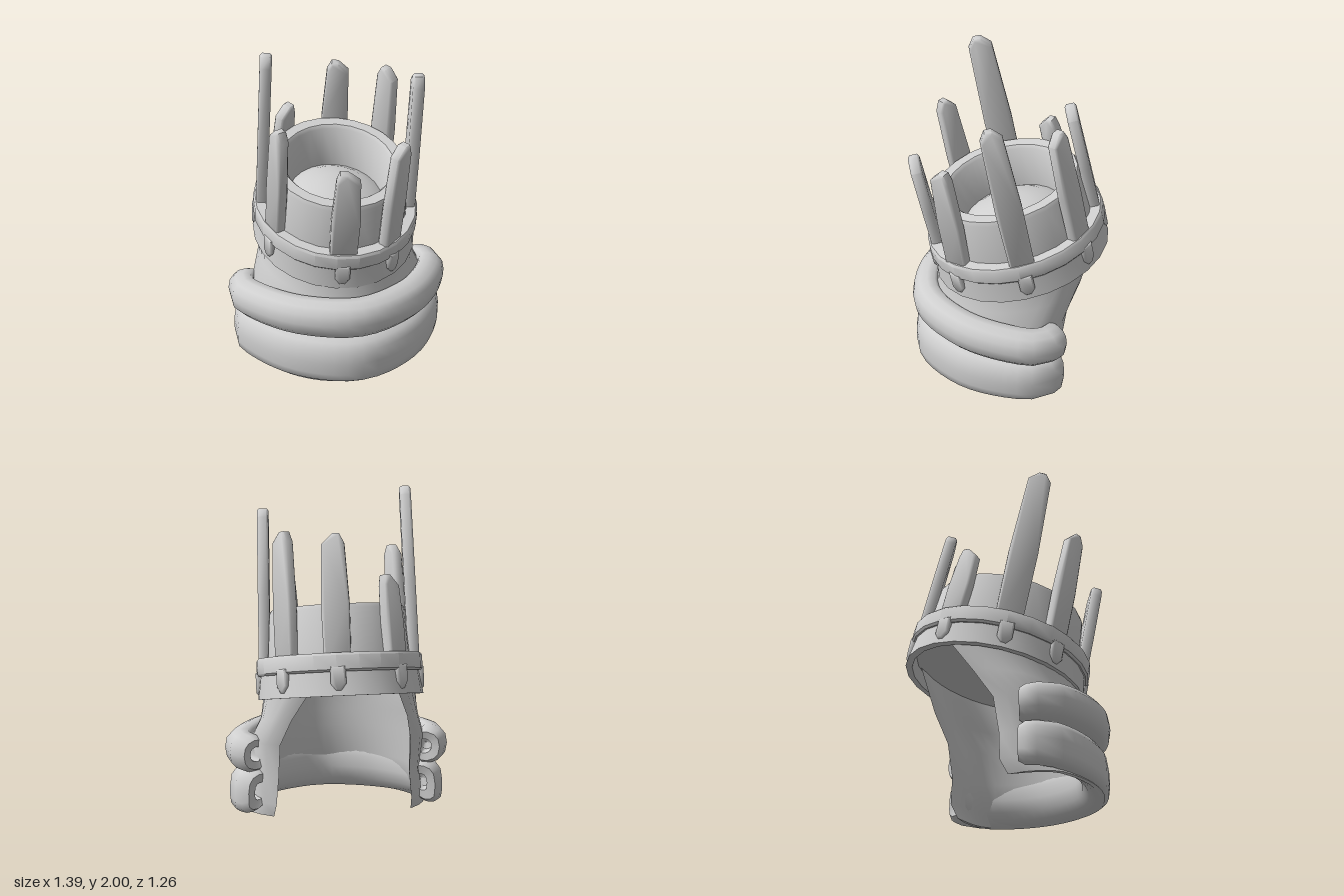
import * as THREE from 'three';
import { toCreasedNormals } from 'three/addons/utils/BufferGeometryUtils.js';

const DEPTH = 1.1; // the crown is slightly longer in z than in x

export function createModel() {
  const model = new THREE.Group();
  const grey = new THREE.MeshStandardMaterial({ color: 0xcfcfcf, side: THREE.DoubleSide });
  grey.name = 'stone grey';

  const add = (parent, name, geometry, crease = 0.7) => {
    const mesh = new THREE.Mesh(toCreasedNormals(geometry, crease), grey);
    mesh.name = name;
    parent.add(mesh);
    return mesh;
  };

  // Skin a row of closed cross-section loops
  const loft = (loops) => {
    const n = loops[0].length;
    const index = [];
    for (let i = 0; i < loops.length - 1; i++) {
      for (let j = 0; j < n; j++) {
        const a = i * n + j, b = i * n + (j + 1) % n;
        index.push(a, a + n, b, b, a + n, b + n);
      }
    }
    const g = new THREE.BufferGeometry();
    g.setAttribute('position', new THREE.Float32BufferAttribute(loops.flat(2), 3));
    g.setIndex(index);
    return g;
  };

  // Oval ring turned from a profile of [radius, height]
  const turned = (profile) => new THREE.LatheGeometry(
    profile.map(([r, y]) => new THREE.Vector2(r, y)), 24).scale(1, 1, DEPTH);

  // Neck wall: a U-shaped shell open at the back, rising into the tilted collar
  // rows: y, half width, front z, back edge z, centre z, tilt, wall thickness, pinch of the back edges
  const rows = [
    [0.005, 0.61, 0.565, -0.17, -0.10, 0, 0.03, 0.27],
    [0.09, 0.56, 0.515, -0.22, -0.10, 0, 0.04, 0.2],
    [0.25, 0.54, 0.49, -0.22, -0.10, 0, 0.06, 0.18],
    [0.46, 0.55, 0.48, -0.26, -0.08, 0.05, 0.07, 0.17],
    [0.60, 0.485, 0.455, -0.365, -0.07, 0.13, 0.04, 0.08],
    [0.80, 0.46, 0.44, -0.505, -0.07, 0.208, 0.03, 0],
  ];
  const wallLoops = [];
  const steps = 32;
  for (let i = 0; i <= steps; i++) {
    const s = (i / steps) * 2 - 1;
    const edge = Math.abs(s) === 1 ? 0 : 1;
    const curl = Math.max(0, (Math.abs(s) - 0.75) / 0.25) ** 1.6;
    const point = ([y, rx, front, back, zc, tilt, thick, pinch], inner) => {
      const rz = front - zc;
      const a = s * Math.acos((back - zc) / rz);
      const inset = inner * thick * edge + (1 - edge) * thick / 2;
      const z = zc + (rz - inset) * Math.cos(a);
      return [(rx - inset) * Math.sin(a) * (1 - pinch * curl), y - tilt * (z + 0.06), z];
    };
    wallLoops.push([...rows.map((r) => point(r, 0)), ...rows.map((r) => point(r, 1)).reverse()]);
  }
  add(model, 'neckWall', loft(wallLoops), 1.0);

  // Padded rolls around the base, with hollowed ends; flare spreads the underside outwards
  const half = [[0.535, -0.095], [0.578, 0], [0.48, 0.2], [0.3, 0.38]];
  const path = [...half.map(([x, z]) => [-x, z]), [0, 0.49], ...half.slice().reverse()];
  const roll = (name, size, yFront, yBack, hFront, hBack, flare) => {
    const curve = new THREE.CatmullRomCurve3(path.map(([x, z]) => new THREE.Vector3(x * size, 0, z * (size + 1) / 2)));
    const section = (u, scale, shift) => {
      const p = curve.getPointAt(u), t = curve.getTangentAt(u);
      const back = Math.abs(u * 2 - 1) ** 2;
      const y = yFront + (yBack - yFront) * back;
      const h = (hFront + (hBack - hFront) * back) * scale;
      const loop = [];
      for (let k = 0; k < 14; k++) {
        const a = (k / 14) * Math.PI * 2, c = Math.cos(a), q = Math.sin(a);
        const out = (Math.sign(c) * Math.abs(c) ** 0.85 * (c > 0 ? 0.13 : 0.045)
          + flare * Math.min(q, 0) ** 2) * scale;
        loop.push([
          p.x - t.z * out + t.x * shift,
          Math.max(0, y + Math.sign(q) * Math.abs(q) ** 0.8 * h),
          p.z + t.x * out + t.z * shift,
        ]);
      }
      return loop;
    };
    const loops = [section(0, 0.01, 0.08), section(0, 0.35, 0.06), section(0, 0.4, -0.03), section(0, 0.8, -0.04)];
    for (let i = 0; i <= 26; i++) loops.push(section(i / 26, 1, 0));
    loops.push(section(1, 0.8, 0.04), section(1, 0.4, 0.03), section(1, 0.35, -0.06), section(1, 0.01, -0.08));
    add(model, name, loft(loops), 1.0);
  };
  roll('upperRoll', 1, 0.43, 0.39, 0.122, 0.115, 0);
  roll('lowerRoll', 0.95, 0.15, 0.16, 0.15, 0.135, 0.06);

  // Everything above the neck leans forward together
  const crown = new THREE.Group();
  crown.name = 'crown';
  crown.position.set(0, 0.91, -0.05);
  crown.rotation.x = 0.205;
  model.add(crown);

  add(crown, 'collar', turned([[0.47, -0.195], [0.507, -0.195], [0.485, -0.03], [0.45, -0.03], [0.47, -0.195]]));
  add(crown, 'band', turned([[0.46, -0.05], [0.498, -0.055], [0.509, -0.042], [0.509, 0.04],
    [0.498, 0.055], [0.44, 0.055], [0.46, -0.05]]));
  add(crown, 'collarFloor', turned([[0, -0.12], [0.475, -0.12]]));
  add(crown, 'cup', turned([[0.445, -0.03], [0.42, 0.32], [0.408, 0.345], [0.345, 0.345], [0.328, 0.325],
    [0.29, 0.07], [0.22, 0.12], [0.11, 0.155], [0, 0.165]]));

  // Plate with a bevelled edge, cut from an outline
  const plate = (points, depth) => {
    const bevel = 0.012;
    const g = new THREE.ExtrudeGeometry(new THREE.Shape(points.map(([x, y]) => new THREE.Vector2(x, y))), {
      depth: depth - 2 * bevel, bevelEnabled: true, bevelSize: bevel,
      bevelOffset: -bevel, bevelThickness: bevel, bevelSegments: 1,
    });
    return g.translate(0, 0, bevel - depth / 2);
  };

  // Upright stakes: tip x, tip z, height, width, sideways skew of the tip, sideways shift of the base
  const stakes = [
    [-0.435, -0.124, 1.087, 0.17, 0.5, 0],
    [0.42, 0.10, 0.991, 0.155, -0.5, 0],
    [0.37, -0.28, 0.788, 0.15, 1, 0],
    [0.105, -0.46, 0.75, 0.16, 1, 0],
    [-0.235, -0.39, 0.51, 0.15, -1.5, 0],
    [-0.42, 0.178, 0.762, 0.14, 0.5, 0],
    [-0.085, 0.495, 0.645, 0.165, -1.5, 0],
    [0.25, 0.405, 0.725, 0.155, 1.2, -0.05],
  ];
  for (const [x, z, h, w, skew, shift] of stakes) {
    const ring = Math.hypot(x / 0.44, z / 0.484);
    const normal = new THREE.Vector3(x, 0, z / (DEPTH * DEPTH)).normalize();
    const across = new THREE.Vector3(normal.z, 0, -normal.x).multiplyScalar(shift);
    const base = new THREE.Vector3(x / ring * 1.035, 0, z / ring * 1.035).add(across);
    const up = new THREE.Vector3(x, h, z).sub(base).normalize();
    const side = new THREE.Vector3().crossVectors(up, normal).normalize();
    const frame = new THREE.Matrix4().makeBasis(side, up, new THREE.Vector3().crossVectors(side, up));
    const outline = [[-w * 0.48, -0.04], [w * 0.48, -0.04], [w * 0.52, h * 0.45], [w * 0.42, h - 0.06],
      [w * (0.13 + 0.12 * skew), h], [w * (-0.13 + 0.12 * skew), h], [-w * 0.42, h - 0.06], [-w * 0.52, h * 0.45]];
    const stake = add(crown, 'stake', plate(outline, 0.07), 1.0);
    stake.quaternion.setFromRotationMatrix(frame);
    stake.position.copy(base);

    // Pointed foot of the stake showing below the band
    const foot = add(crown, 'stakeFoot', plate([[-0.045, -0.02], [-0.045, -0.125], [-0.015, -0.165],
      [0.015, -0.165], [0.045, -0.125], [0.045, -0.02]], 0.05), 1.0);
    foot.position.set(x / ring * 1.11, 0, z / ring * 1.11).add(across);
    foot.rotation.y = Math.atan2(normal.x, normal.z);
  }
  return model;
}
